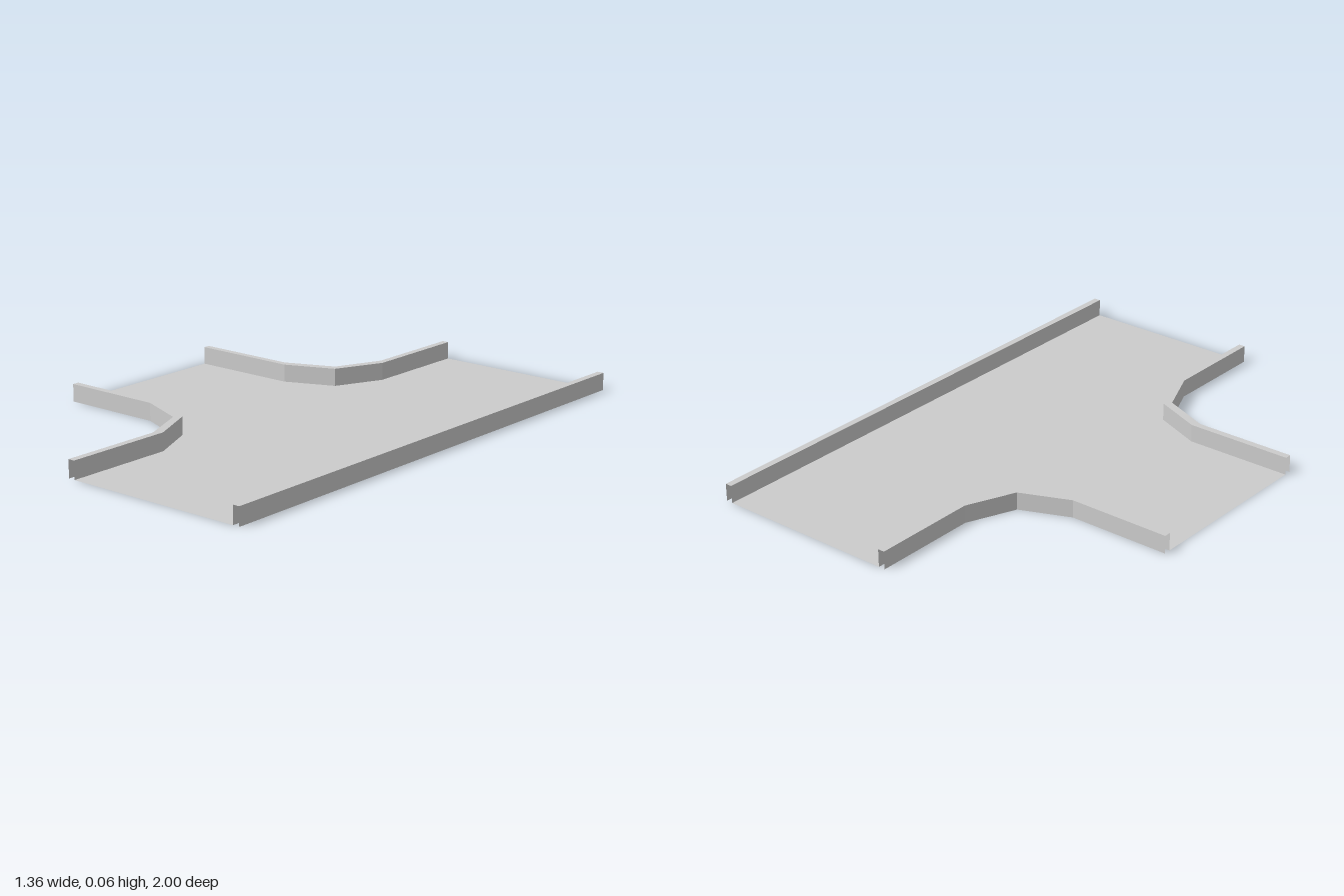
import * as THREE from 'three';

const HEIGHT = 0.065;
const material = new THREE.MeshStandardMaterial({ color: 0xcccccc, flatShading: true, side: THREE.DoubleSide });

// Inner and outer lines [x, z] of the bent rail on the +z side
const bendInner = [[-0.02, 1], [-0.02, 0.59], [-0.1, 0.41], [-0.28, 0.335], [-0.68, 0.335]];
const bendOuter = [[-0.045, 1], [-0.045, 0.612], [-0.12, 0.435], [-0.3, 0.36], [-0.68, 0.36]];

// The same line on the -z side, reversed to keep faces outward
const mirrorZ = (line) => line.map(([x, z]) => [x, -z]).reverse();

// Hollow folded rail: inner wall, top and outer wall, open below and at the ends
function rail(name, inner, outer) {
  const sections = inner.map(([x, z], i) => {
    const [ox, oz] = outer[i];
    return [[x, 0, z], [x, HEIGHT, z], [ox, HEIGHT, oz], [ox, 0, oz]];
  });
  const positions = [];
  for (let i = 0; i < sections.length - 1; i++) {
    for (let j = 0; j < 3; j++) {
      const a = sections[i][j], b = sections[i + 1][j];
      const c = sections[i + 1][j + 1], d = sections[i][j + 1];
      positions.push(...a, ...b, ...c, ...a, ...c, ...d);
    }
  }
  const geometry = new THREE.BufferGeometry();
  geometry.setAttribute('position', new THREE.Float32BufferAttribute(positions, 3));
  geometry.computeVertexNormals();
  const mesh = new THREE.Mesh(geometry, material);
  mesh.name = name;
  return mesh;
}

export function createModel() {
  const group = new THREE.Group();
  group.name = 'teeTray';

  // Thin T-shaped floor between the inner walls
  const outline = [[0.655, -1], [0.655, 1], ...bendInner, ...mirrorZ(bendInner)];
  const shape = new THREE.Shape(outline.map(([x, z]) => new THREE.Vector2(x, -z)));
  const floor = new THREE.Mesh(new THREE.ShapeGeometry(shape).rotateX(-Math.PI / 2), material);
  floor.name = 'floor';

  group.add(
    floor,
    rail('straightRail', [[0.655, -1], [0.655, 1]], [[0.68, -1], [0.68, 1]]),
    rail('frontBentRail', bendInner, bendOuter),
    rail('backBentRail', mirrorZ(bendInner), mirrorZ(bendOuter)),
  );
  return group;
}
